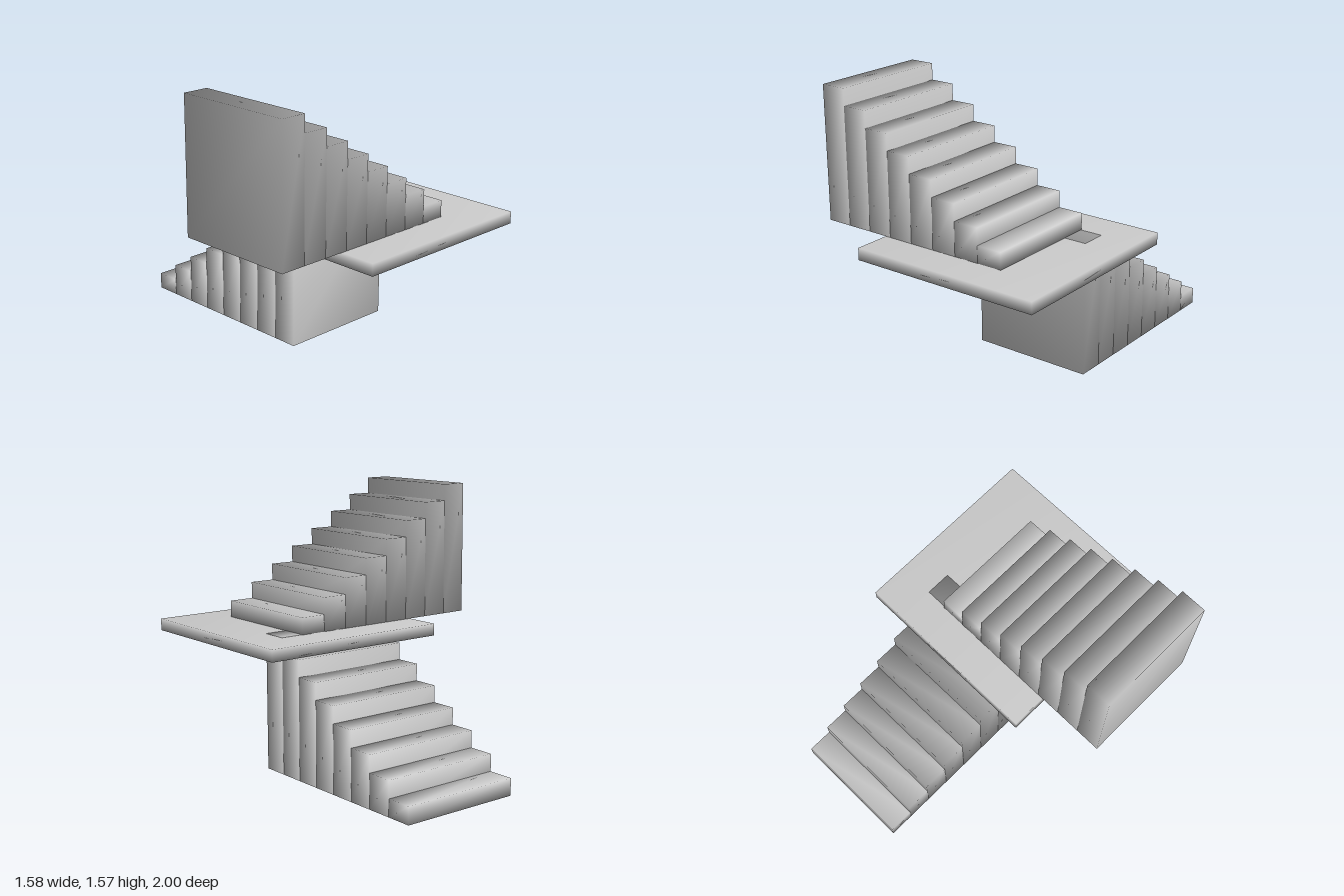
import * as THREE from 'three';
import { mergeVertices } from 'three/addons/utils/BufferGeometryUtils.js';

const material = new THREE.MeshStandardMaterial({ color: 0xcccccc });

// Box between two corners, with corners shared so shading runs smoothly over the edges
function block(name, [x0, y0, z0], [x1, y1, z1]) {
  let geometry = new THREE.BoxGeometry(x1 - x0, y1 - y0, z1 - z0);
  geometry.deleteAttribute('normal');
  geometry.deleteAttribute('uv');
  geometry = mergeVertices(geometry);
  geometry.computeVertexNormals();
  const mesh = new THREE.Mesh(geometry, material);
  mesh.name = name;
  mesh.position.set((x0 + x1) / 2, (y0 + y1) / 2, (z0 + z1) / 2);
  return mesh;
}

export function createModel() {
  const model = new THREE.Group();
  model.name = 'staircase';
  const steps = 8, rise = 0.0984, tread = 0.1525;
  const landingTop = steps * rise;

  // Lower flight climbs from the back towards the front
  const lower = new THREE.Group();
  lower.name = 'lowerFlight';
  // Upper flight climbs from the landing towards -x
  const upper = new THREE.Group();
  upper.name = 'upperFlight';
  for (let i = 0; i < steps; i++) {
    const height = (i + 1) * rise;
    const z = -1 + i * tread;
    // The last lower step shows just above the landing
    const top = i === steps - 1 ? height + 0.001 : height;
    lower.add(block('lowerStep' + (i + 1), [-0.16, 0, z], [0.565, top, z + tread]));
    const x = 0.43 - i * tread;
    upper.add(block('upperStep' + (i + 1), [x - tread, landingTop, 0.06], [x, landingTop + height, 0.785]));
  }

  // Slab where the flights turn
  const landing = block('landing', [-0.366, 0.717, -0.155], [0.788, landingTop, 1]);

  model.add(lower, landing, upper);
  return model;
}
